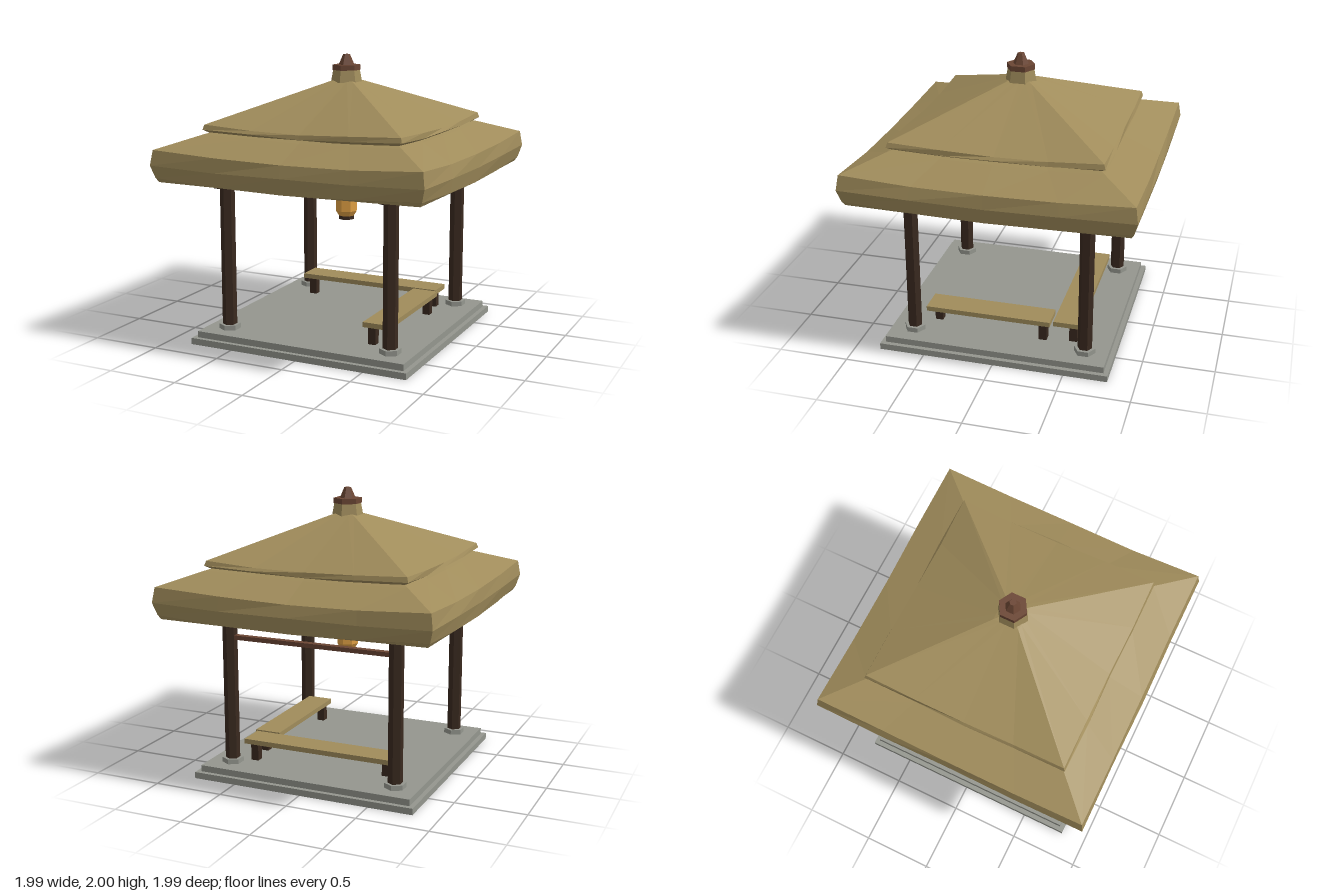
import * as THREE from 'three';

const mat = (name, color) => {
  const m = new THREE.MeshStandardMaterial({ color, flatShading: true });
  m.name = name;
  return m;
};

// Square thatch tier: profile rows are [half size, corner height, mid-edge height], bottom to top
function thatchTier(profile, wobble) {
  const seg = 4, n = seg * 4, pos = [], idx = [];
  const corners = [[1, 1], [1, -1], [-1, -1], [-1, 1]];
  profile.forEach(([s, yCorner, yMid], r) => {
    for (let i = 0; i < n; i++) {
      const [ax, az] = corners[Math.floor(i / seg)];
      const [bx, bz] = corners[(Math.floor(i / seg) + 1) % 4];
      const t = (i % seg) / seg, sag = 4 * t * (1 - t);
      const w = s > 0.3 && t > 0 ? wobble * Math.sin(i * 2.3 + r * 1.7) : 0;
      const h = s + w * 0.6;
      pos.push((ax + (bx - ax) * t) * h, yCorner + (yMid - yCorner) * sag + w * 0.6, (az + (bz - az) * t) * h);
    }
    if (r === 0) return;
    for (let i = 0; i < n; i++) {
      const j = (i + 1) % n, lo = (r - 1) * n, hi = r * n;
      idx.push(lo + i, lo + j, hi + j, lo + i, hi + j, hi + i);
    }
  });
  const g = new THREE.BufferGeometry();
  g.setAttribute('position', new THREE.Float32BufferAttribute(pos, 3));
  g.setIndex(idx);
  g.computeVertexNormals();
  return g;
}

export function createModel() {
  const stone = mat('stone', 0x94968e);
  const darkWood = mat('dark wood', 0x39291f);
  const redWood = mat('red wood', 0x6b4634);
  const thatch = mat('thatch', 0xa08c5b);
  const paper = mat('lantern paper', 0xe0a044);

  const model = new THREE.Group();
  model.name = 'pavilion';
  const frame = new THREE.Group();
  frame.name = 'frame';
  frame.position.set(-0.003, 0, 0.007);
  model.add(frame);

  const add = (parent, name, geo, material, x = 0, y = 0, z = 0) => {
    const m = new THREE.Mesh(geo, material);
    m.name = name;
    m.position.set(x, y, z);
    parent.add(m);
    return m;
  };
  const box = (name, w, y0, y1, d, material, x = 0, z = 0) =>
    add(frame, name, new THREE.BoxGeometry(w, y1 - y0, d), material, x, (y0 + y1) / 2, z);
  const prism = (name, rTop, rBottom, y0, y1, sides, material, x = 0, z = 0) =>
    add(frame, name, new THREE.CylinderGeometry(rTop, rBottom, y1 - y0, sides), material, x, (y0 + y1) / 2, z);

  // Stone floor slab resting on a kerb that is open underneath
  box('floorSlab', 1.565, 0.045, 0.09, 1.565, stone);
  for (const s of [-1, 1]) {
    box('kerb', 1.63, 0, 0.045, 0.04, stone, 0, s * 0.795);
    box('kerb', 0.04, 0, 0.045, 1.55, stone, s * 0.795, 0);
  }

  // Posts on stone footings, and the crossing beams
  const P = 0.618;
  for (const sx of [-1, 1]) {
    for (const sz of [-1, 1]) {
      prism('footing', 0.075, 0.075, 0.09, 0.125, 6, stone, sx * P, sz * P);
      prism('post', 0.051, 0.051, 0.125, 1.165, 6, darkWood, sx * P, sz * P);
    }
    box('sideBeam', 0.07, 1.112, 1.172, 1.46, darkWood, sx * P, 0);
    box('crossBeam', 1.47, 1.11, 1.17, 0.07, darkWood, 0, sx * P);
  }
  box('backRail', 1.16, 0.99, 1.02, 0.045, redWood, 0, -P);

  // Benches: seat board with one staggered leg at each end
  const bench = (name, x, z, w, d, lx, lz) => {
    box(name + 'Seat', w, 0.215, 0.25, d, thatch, x, z);
    for (const s of [-1, 1])
      box(name + 'Leg', 0.056, 0.09, 0.215, 0.056, darkWood, x + s * lx, z - s * lz);
  };
  bench('backBench', 0, -0.472, 1.1, 0.19, 0.485, 0.04);
  bench('sideBench', 0.477, 0.095, 0.19, 0.9, 0.04, 0.395);

  // Hanging lantern
  const body = [[0.055, 0.842], [0.08, 0.882], [0.08, 1.012], [0.055, 1.052]].map(p => new THREE.Vector2(...p));
  add(frame, 'lanternBody', new THREE.LatheGeometry(body, 8), paper);
  prism('lanternBottomCap', 0.058, 0.058, 0.82, 0.845, 8, darkWood);
  prism('lanternTopCap', 0.056, 0.056, 1.048, 1.072, 8, darkWood);
  prism('lanternCord', 0.011, 0.011, 1.072, 1.19, 6, darkWood);

  // Two thatch tiers with sagging eaves
  const roof = new THREE.Group();
  roof.name = 'roof';
  roof.position.set(-0.005, 0, 0);
  model.add(roof);
  add(roof, 'lowerThatch', thatchTier([
    [0, 1.175, 1.175], [0.75, 1.175, 1.17], [0.95, 1.168, 1.16], [0.968, 1.198, 1.162],
    [0.993, 1.285, 1.268], [0.977, 1.39, 1.357], [0.73, 1.48, 1.465], [0.6, 1.52, 1.51],
  ], 0.007), thatch);
  add(roof, 'upperThatch', thatchTier([
    [0.6, 1.5, 1.49], [0.705, 1.492, 1.478], [0.735, 1.512, 1.492],
    [0.725, 1.546, 1.52], [0.09, 1.812, 1.812], [0, 1.84, 1.84],
  ], 0.01), thatch);

  // Ridge neck and finial
  prism('roofNeck', 0.094, 0.11, 1.805, 1.892, 6, thatch);
  prism('finialCap', 0.1, 0.1, 1.89, 1.927, 6, redWood);
  prism('finialTip', 0.024, 0.055, 1.927, 2.0, 6, redWood);

  return model;
}
